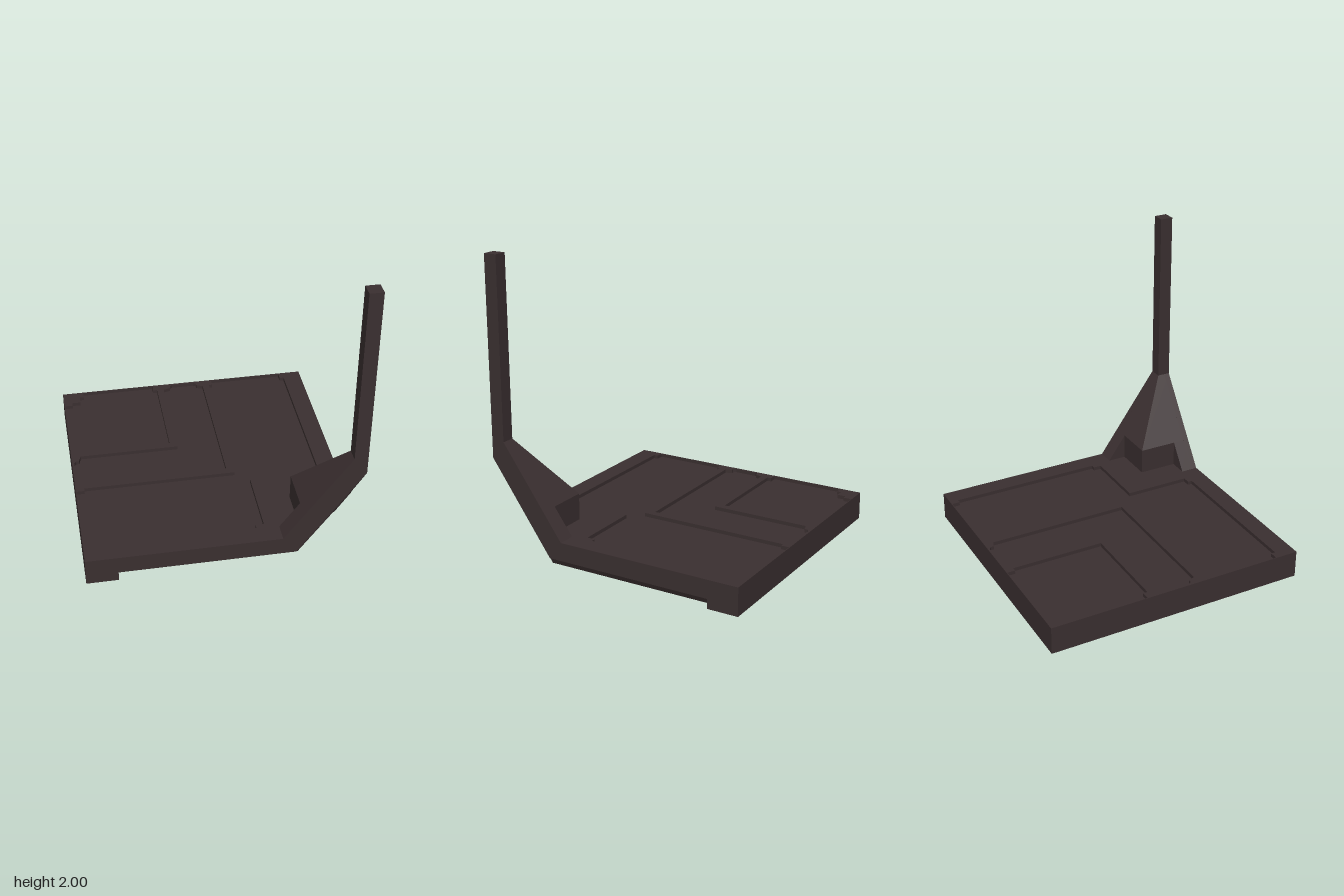
import * as THREE from 'three';

const H = 0.19;        // deck height
const SUNK = 0.025;    // depth of the deck panels
const E = 0.9;         // half width of the base

const pts = (list) => list.map(([x, y]) => new THREE.Vector2(x, y));

// Horizontal slab: shape y becomes z, thickness goes down from the given top
function slab(outline, holes, top, depth) {
  const shape = new THREE.Shape(pts(outline));
  holes.forEach((h) => shape.holes.push(new THREE.Path(pts(h))));
  return new THREE.ExtrudeGeometry(shape, { depth, bevelEnabled: false })
    .rotateX(Math.PI / 2).translate(0, top, 0);
}

// Flat faces, each repeated across the diagonal plane x = z
function mirroredFaces(faces) {
  const pos = [];
  const add = (f) => {
    for (let i = 1; i < f.length - 1; i++) pos.push(...f[0], ...f[i], ...f[i + 1]);
  };
  faces.forEach((f) => {
    add(f);
    add(f.map(([x, y, z]) => [z, y, x]).reverse());
  });
  const g = new THREE.BufferGeometry();
  g.setAttribute('position', new THREE.Float32BufferAttribute(pos, 3));
  g.computeVertexNormals();
  return g;
}

// Adds the points mirrored across the diagonal to close a symmetric outline
const symmetric = (half) => [...half, ...half.map(([x, z]) => [z, x]).reverse()];

export function createModel() {
  const model = new THREE.Group();
  const darkBrown = new THREE.MeshStandardMaterial({ color: 0x3a2f30, side: THREE.DoubleSide });
  darkBrown.name = 'darkBrown';
  const part = (name, geometry) => {
    const mesh = new THREE.Mesh(geometry, darkBrown);
    mesh.name = name;
    model.add(mesh);
    return mesh;
  };

  // Deck with three sunken, nested panels
  const deckOutline = [[-E, -E], [E, -E], [E, 0.51], [0.51, 0.51], [0.51, E], [-E, E]];
  const squarePanel = symmetric([
    [-0.895, -0.75], [-0.895, -0.23], [-0.84, -0.23], [-0.84, -0.2], [-0.2, -0.2],
  ]).filter((p, i) => i !== 5);
  squarePanel.push([-0.75, -0.84], [-0.78, -0.84], [-0.78, -0.78], [-0.84, -0.78], [-0.84, -0.75]);
  const bandPanel = [
    ...symmetric([
      [-0.885, -0.08], [-0.87, -0.1], [-0.85, -0.1], [-0.835, -0.15], [-0.15, -0.15],
    ]).filter((p, i) => i !== 5),
    ...symmetric([
      [0.08, -0.885], [0.1, -0.87], [0.1, -0.85], [0.145, -0.835], [0.145, 0.145],
    ]).filter((p, i) => i !== 5),
  ];
  const cornerPanel = [
    ...symmetric([
      [-0.895, 0.74], [-0.895, 0.22], [-0.84, 0.22], [-0.84, 0.195], [0.195, 0.195],
    ]).filter((p, i) => i !== 5),
    ...symmetric([
      [0.74, -0.84], [0.77, -0.84], [0.77, 0.23], [0.74, 0.23], [0.74, 0.285], [0.285, 0.285],
    ]).filter((p, i) => i !== 6),
  ];
  part('deckTop', slab(deckOutline, [squarePanel, bandPanel, cornerPanel], H, SUNK));
  part('panelFloor', slab(deckOutline, [], H - SUNK, SUNK));

  // Underside with its corner notch
  const bottom = new THREE.ShapeGeometry(new THREE.Shape(pts([
    [-E, -E], [E, -E], [E, -0.69], [0.83, -0.69], [0.83, 0.5],
    [0.5, 0.5], [0.5, 0.83], [-0.69, 0.83], [-0.69, E], [-E, E],
  ])));
  part('underside', bottom.rotateX(Math.PI / 2));

  // Plain outer walls on the two sides away from the post
  part('plainWalls', mirroredFaces([
    [[-E, 0, -E], [-E, H, -E], [E, H, -E], [E, 0, -E]],
  ]));

  // Outer skins of the two braced sides
  const profile = [
    [-E, 0], [-0.69, 0], [-0.69, 0.065], [0.47, 0.065], [E, 0.67],
    [E, 0.79], [0.81, 0.79], [0.38, H], [-E, H],
  ];
  const skin = (list) => new THREE.ExtrudeGeometry(
    new THREE.Shape(pts(list)), { depth: 0.04, bevelEnabled: false }).translate(0, 0, 0.86);
  part('frontSkin', skin(profile));
  part('sideSkin', skin(profile.map(([x, y]) => [-x, y])).rotateY(Math.PI / 2));

  // Feet at the far ends of the braced sides
  for (const [name, x, z] of [['frontFoot', -0.795, 0.85], ['sideFoot', 0.85, -0.795]]) {
    const w = x < 0 ? 0.21 : 0.1;
    part(name, new THREE.BoxGeometry(w, 0.065, 0.31 - w).translate(x, 0.0325, z));
  }

  // Tilted inset strips below the skins
  part('insetStrips', mirroredFaces([
    [[-0.69, 0, 0.83], [0.5, 0, 0.83], [0.47, 0.065, 0.86], [-0.69, 0.065, 0.86]],
    [[0.5, 0, 0.83], [0.83, 0.46, 0.83], [0.86, 0.615, 0.86], [0.47, 0.065, 0.86]],
  ]));

  // Hollow under the corner
  part('cornerHollow', mirroredFaces([
    [[0.5, 0, 0.5], [0.83, 0.46, 0.83], [0.5, 0, 0.83]],
  ]));

  // Sloping brace with a boxed inner corner and two wings
  const s = 0.371;
  part('brace', mirroredFaces([
    [[0.51, s, 0.51], [0.51, s, E], [0.81, 0.79, E], [0.81, 0.79, 0.81]],
    [[0.38, H, 0.78], [0.38, H, E], [0.51, s, E], [0.51, s, 0.78]],
    [[0.51, H, 0.51], [0.51, H, 0.78], [0.51, s, 0.78], [0.51, s, 0.51]],
    [[0.38, H, 0.78], [0.51, s, 0.78], [0.51, H, 0.78]],
  ]));

  // Corner post
  part('post', new THREE.BoxGeometry(0.09, 1.21, 0.09).translate(0.855, 1.395, 0.855));

  return model;
}
